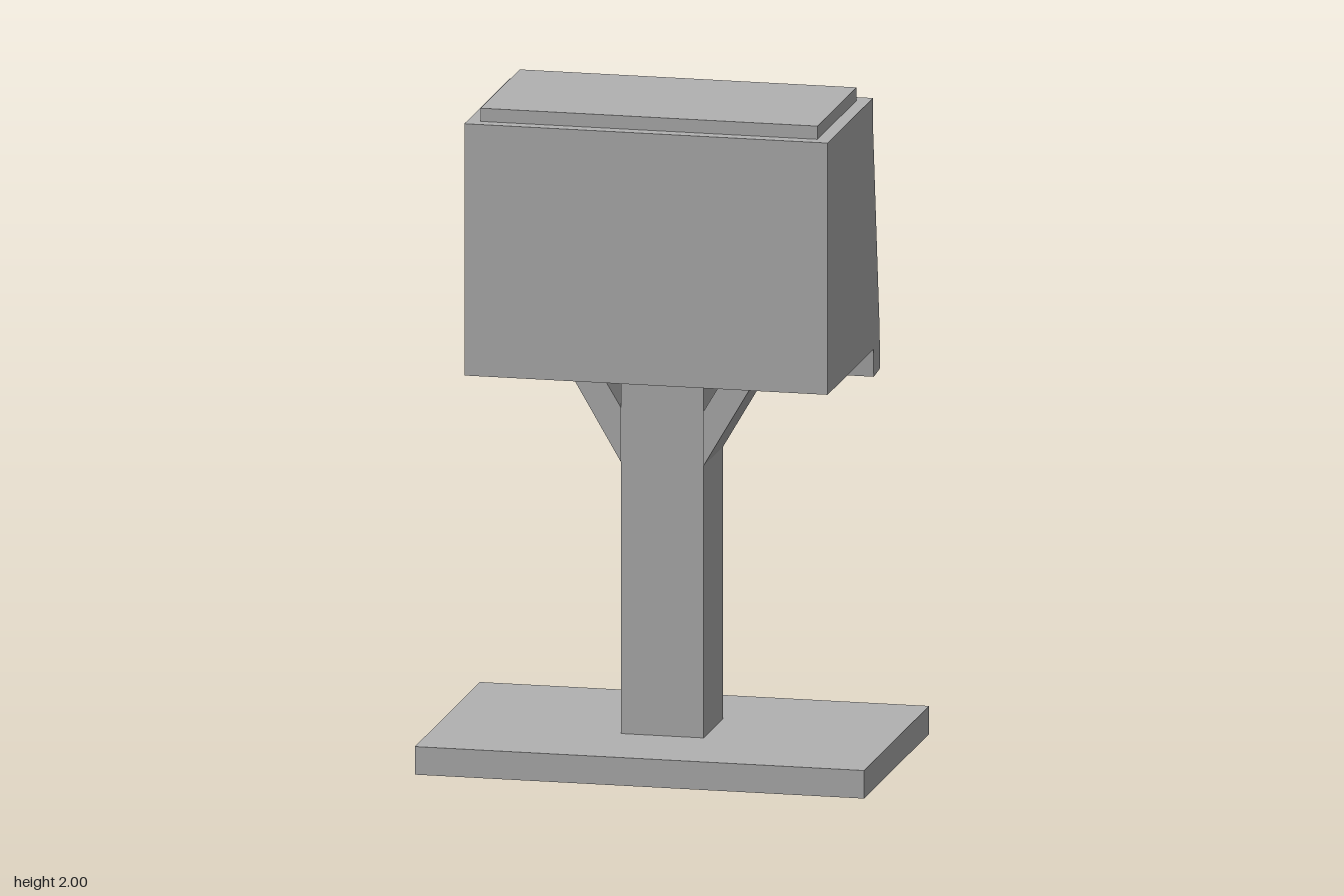
import * as THREE from 'three';

export function createModel() {
  const group = new THREE.Group();
  const grey = new THREE.MeshStandardMaterial({ color: 0xb2b2b2 });
  grey.name = 'plain grey';

  const add = (name, geometry, x = 0, y = 0, z = 0) => {
    const mesh = new THREE.Mesh(geometry, grey);
    mesh.name = name;
    mesh.position.set(x, y, z);
    group.add(mesh);
    return mesh;
  };
  const box = (name, w, h, d, x, y, z) => add(name, new THREE.BoxGeometry(w, h, d), x, y, z);
  const prism = (points, depth) => {
    const shape = new THREE.Shape(points.map(([a, b]) => new THREE.Vector2(a, b)));
    return new THREE.ExtrudeGeometry(shape, { depth, bevelEnabled: false }).translate(0, 0, -depth / 2);
  };
  // Side profile given as [z, y], extruded across x
  const across = (name, points, width, x = 0) => add(name, prism(points, width).rotateY(-Math.PI / 2), x);

  // Base and post
  box('base', 1.36, 0.085, 0.85, 0, 0.0425, 0);
  box('post', 0.25, 1.115, 0.25, 0, 0.6425, 0);

  // Angled braces under the cabinet
  for (const s of [1, -1]) {
    const brace = [[0.125, 0.91], [0.295, 1.2], [0.2, 1.2], [0.125, 1.075]];
    add(s > 0 ? 'leftBrace' : 'rightBrace', prism(brace.map(([x, y]) => [s * x, y]), 0.26));
  }

  // Cabinet with a sloping recessed panel at the back
  across('cabinet', [
    [0.34, 1.197], [0.34, 1.96], [-0.21, 1.96], [-0.21, 1.87],
    [-0.3, 1.247], [-0.257, 1.247], [-0.257, 1.197],
  ], 1.1);
  box('lid', 1.02, 0.04, 0.51, 0, 1.98, 0.045);

  // Raised frame round the recess
  across('frameTop', [[-0.21, 1.87], [-0.21, 1.96], [-0.253, 1.96], [-0.253, 1.87]], 1.1);
  across('frameBottom', [
    [-0.257, 1.247], [-0.338, 1.247], [-0.346, 1.12], [-0.263, 1.113], [-0.257, 1.197],
  ], 1.1);
  for (const s of [1, -1]) {
    across(s > 0 ? 'frameLeft' : 'frameRight',
      [[-0.21, 1.87], [-0.253, 1.87], [-0.338, 1.247], [-0.3, 1.247]], 0.08, s * 0.51);
  }

  // Slightly crooked sheet on the panel
  const sheet = box('sheet', 0.43, 0.53, 0.04, -0.018, 1.575, -0.2526);
  sheet.rotation.set(0.1435, 0, -0.09);

  return group;
}
